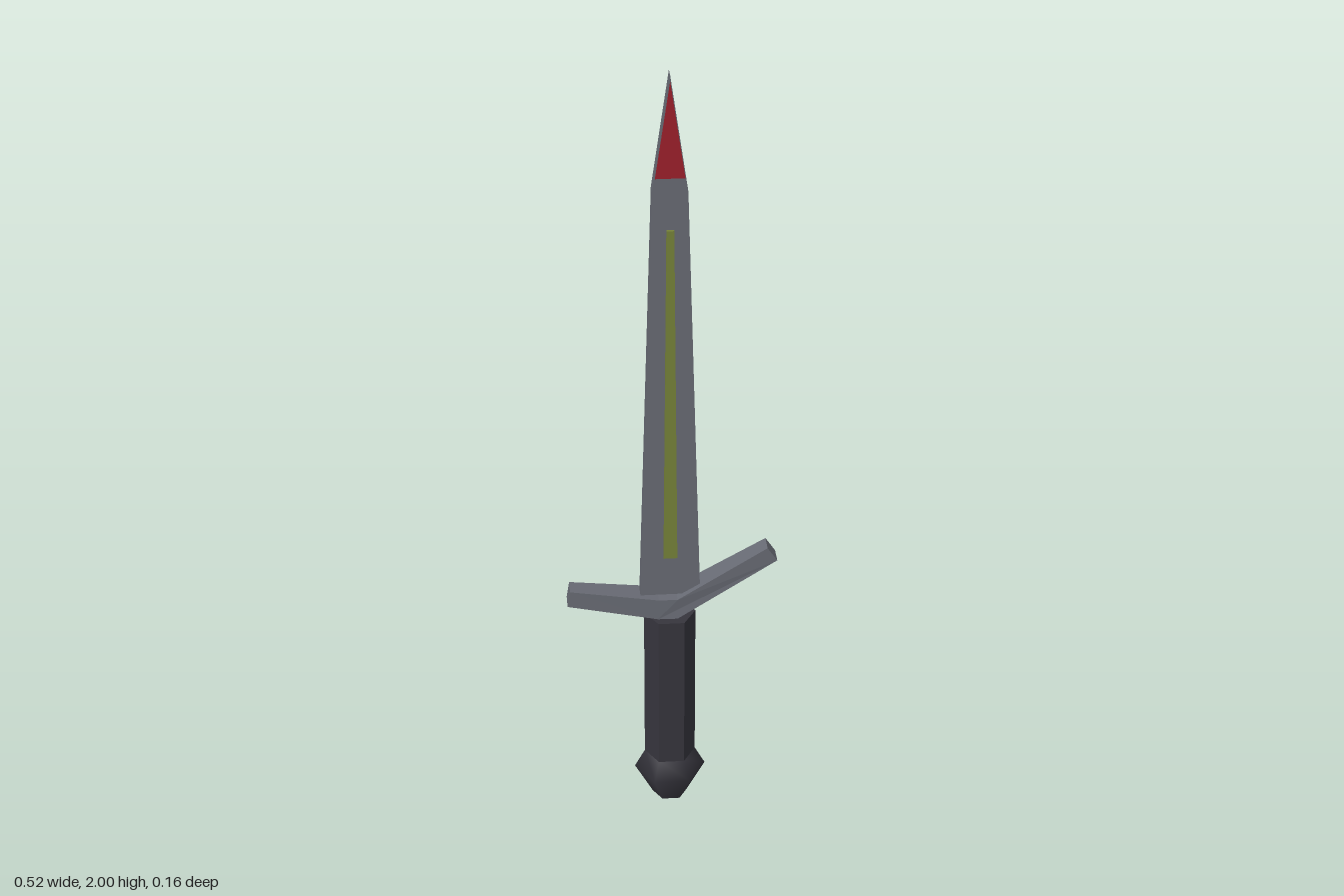
import * as THREE from 'three';

const CX = -0.005, CZ = -0.0015; // axis shared by blade, grip and pommel

const material = (name, color) => {
  const m = new THREE.MeshStandardMaterial({ color });
  m.name = name;
  return m;
};

// Flat outline pushed out from z0 to z1
function slab(points, z0, z1) {
  const shape = new THREE.Shape(points.map(([x, y]) => new THREE.Vector2(x, y)));
  const geo = new THREE.ExtrudeGeometry(shape, { depth: z1 - z0, bevelEnabled: false });
  return geo.translate(0, 0, z0);
}

export function createModel() {
  const steel = material('steel grey', 0x686b74);
  const dark = material('dark grip', 0x36353d);
  const red = material('red', 0x9c202b);
  const olive = material('olive', 0x768239);

  const group = new THREE.Group();
  group.name = 'dagger';
  const add = (name, geo, mat) => {
    const mesh = new THREE.Mesh(geo, mat);
    mesh.name = name;
    group.add(mesh);
    return mesh;
  };

  // Tapered blade with a pointed tip
  const half = 0.0175;
  add('blade', slab([
    [CX - 0.075, 0.62], [CX + 0.075, 0.62], [CX + 0.042, 1.715],
    [CX, 2], [CX - 0.042, 1.715],
  ], CZ - half, CZ + half), steel);

  // Red tip plates on both faces
  const tip = [[CX - 0.035, 1.75], [CX + 0.035, 1.75], [CX, 1.985]];
  add('tipPlateFront', slab(tip, CZ + half, CZ + half + 0.004), red);
  add('tipPlateBack', slab(tip, CZ - half - 0.004, CZ - half), red);

  // Narrow inlay along the front of the blade
  add('bladeInlay', slab([
    [CX - 0.017, 0.73], [CX + 0.017, 0.73], [CX + 0.009, 1.62], [CX - 0.009, 1.62],
  ], CZ + half, CZ + half + 0.008), olive);

  // Lopsided crossguard, thinner towards the ends
  const guard = slab([
    [-0.037, 0.557], [0.012, 0.557], [0.262, 0.71], [0.237, 0.747],
    [0.012, 0.613], [-0.035, 0.613], [-0.256, 0.643], [-0.263, 0.6],
  ], -1, 1);
  const p = guard.attributes.position;
  for (let i = 0; i < p.count; i++) {
    const h = 0.035 - 0.011 * Math.min(1, Math.abs(p.getX(i)) / 0.25);
    p.setZ(i, p.getZ(i) * h - 0.001);
  }
  guard.computeVertexNormals();
  add('crossguard', guard, steel);

  // Six-sided grip with flat faces
  const grip = new THREE.CylinderGeometry(0.065, 0.065, 0.437, 6)
    .rotateY(Math.PI / 6).toNonIndexed();
  grip.computeVertexNormals();
  add('grip', grip, dark).position.set(CX, 0.3385, CZ);

  // Six-sided pommel with soft shading and a flat base
  const profile = [[0.045, 0], [0.091, 0.083], [0.064, 0.133]]
    .map(([r, y]) => new THREE.Vector2(r, y));
  add('pommel', new THREE.LatheGeometry(profile, 6, Math.PI / 6), dark)
    .position.set(CX, 0, CZ);
  const base = new THREE.CircleGeometry(0.045, 6).rotateX(Math.PI / 2);
  add('pommelBase', base, dark).position.set(CX, 0, CZ);

  return group;
}
